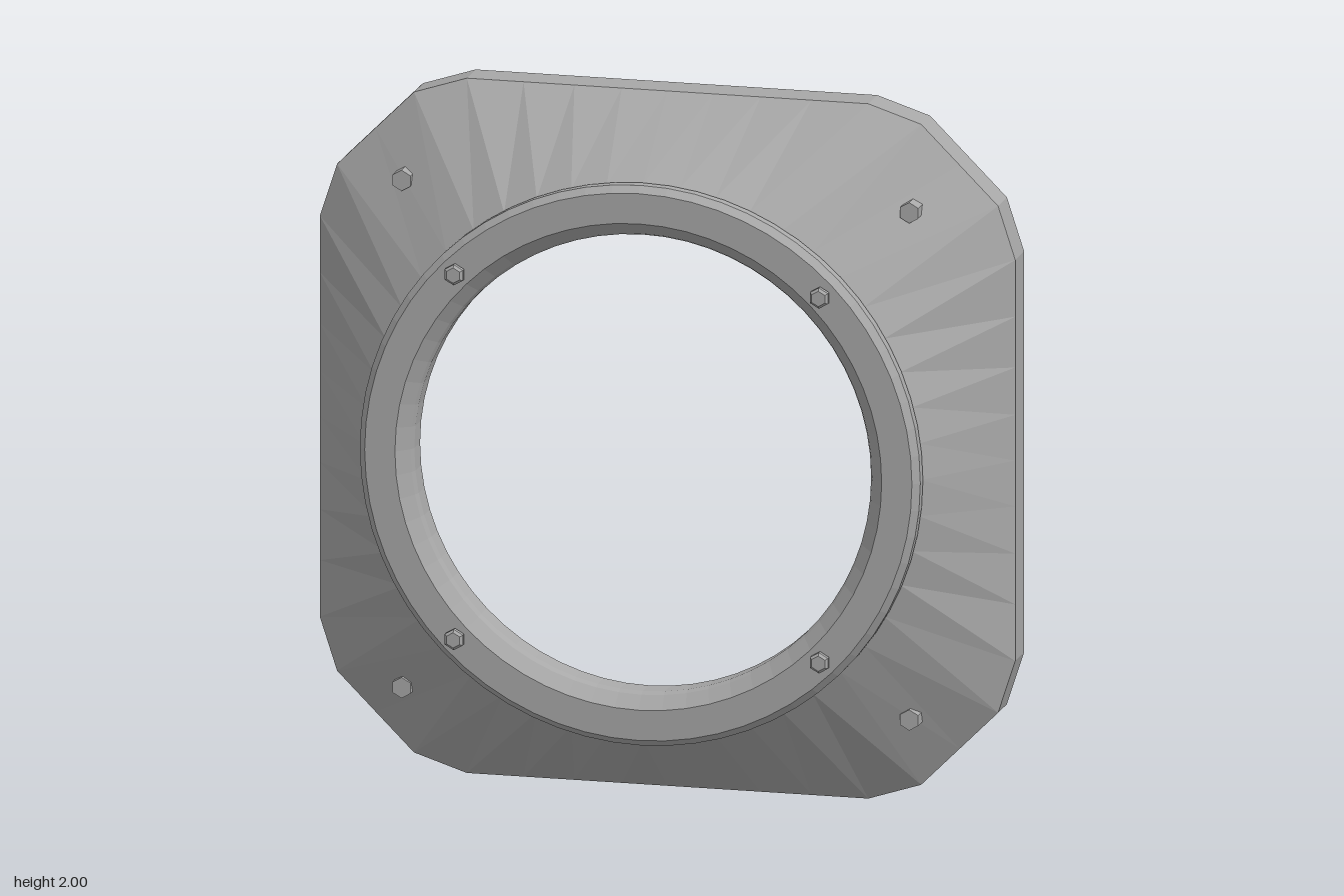
import * as THREE from 'three';

const SEGMENTS = 48; // 7.5 degree steps land on the outline corners

// Distance from the centre to the clipped-square outline at angle a
function outlineRadius(a) {
  const c = Math.abs(Math.cos(a)), s = Math.abs(Math.sin(a));
  const x = Math.max(c, s), y = Math.min(c, s);
  return Math.min(1 / x, 0.1819 / (0.153 * x + 0.05 * y), 1.68 / (x + y));
}

// Open shell through cross-sections [radiusFunction, z], ordered back to front
function loft(sections) {
  const positions = [], indices = [];
  for (const [radius, z] of sections) {
    for (let i = 0; i < SEGMENTS; i++) {
      const a = (i / SEGMENTS) * Math.PI * 2;
      positions.push(radius(a) * Math.cos(a), radius(a) * Math.sin(a), z);
    }
  }
  for (let k = 0; k < sections.length - 1; k++) {
    for (let i = 0; i < SEGMENTS; i++) {
      const j = (i + 1) % SEGMENTS;
      const a = k * SEGMENTS + i, b = k * SEGMENTS + j;
      indices.push(a, b, b + SEGMENTS, a, b + SEGMENTS, a + SEGMENTS);
    }
  }
  const geometry = new THREE.BufferGeometry();
  geometry.setAttribute('position', new THREE.Float32BufferAttribute(positions, 3));
  geometry.setIndex(indices);
  geometry.computeVertexNormals();
  return geometry;
}

export function createModel() {
  const model = new THREE.Group();
  model.name = 'ringShroud';
  const grey = new THREE.MeshStandardMaterial({
    color: 0xa8a8a8, flatShading: true, side: THREE.DoubleSide,
  });
  grey.name = 'grey';

  const add = (name, geometry, x = 0, y = 0, z = 0) => {
    const mesh = new THREE.Mesh(geometry, grey);
    mesh.name = name;
    mesh.position.set(x, y + 1, z);
    model.add(mesh);
  };

  // Straight skirt at the back, then the sloping body narrowing to the ring
  add('skirt', loft([[outlineRadius, -0.23], [outlineRadius, -0.13]]));
  add('slopingBody', loft([[outlineRadius, -0.13], [() => 0.8, 0.145]]));

  // Front ring with bevelled edges, inner sleeve and rear ledge
  const profile = [
    [0.735, 0.145], [0.8, 0.14], [0.806, 0.15], [0.806, 0.18], [0.787, 0.2],
    [0.7, 0.2], [0.664, 0.165], [0.657, 0.15], [0.657, 0.085], [0.675, 0.085],
    [0.675, 0.145], [0.735, 0.145],
  ].map(([r, z]) => new THREE.Vector2(r, z));
  add('frontRing', new THREE.LatheGeometry(profile, 64).rotateX(Math.PI / 2));

  // Hex bolts, mirrored to all four corners
  const hex = (top, bottom, height) =>
    new THREE.CylinderGeometry(top, bottom, height, 6).rotateX(Math.PI / 2);
  for (const sx of [-1, 1]) {
    for (const sy of [-1, 1]) {
      add('ringBoltShank', hex(0.024, 0.024, 0.03), sx * 0.525, sy * 0.525, 0.205);
      add('ringBoltHead', hex(0.03, 0.03, 0.014), sx * 0.525, sy * 0.525, 0.216);
      add('ringBoltCap', hex(0.022, 0.03, 0.007), sx * 0.525, sy * 0.525, 0.2265);
      add('bodyBolt', hex(0.03, 0.03, 0.065), sx * 0.73, sy * 0.73, -0.024);
    }
  }
  return model;
}
